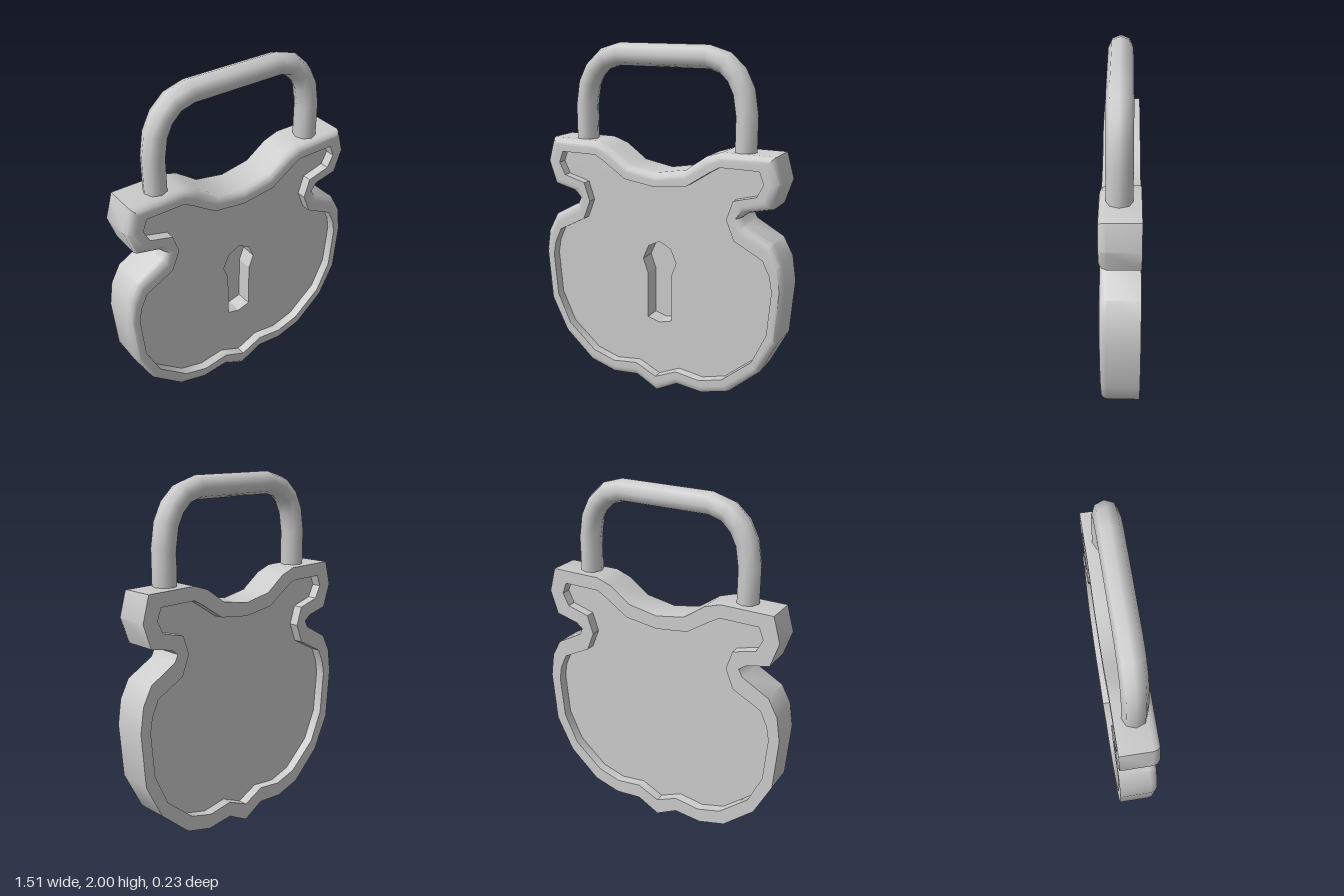
import * as THREE from 'three';
import { mergeVertices, toCreasedNormals } from 'three/addons/utils/BufferGeometryUtils.js';

// Right halves of the matched outer and inner outlines, bottom to top
const OUTER = [[0, 0], [0.13, 0.07], [0.29, 0.055], [0.45, 0.1], [0.63, 0.26], [0.73, 0.46], [0.752, 0.76],
  [0.73, 0.9], [0.675, 1.0], [0.52, 1.085], [0.5, 1.125], [0.54, 1.155], [0.67, 1.185], [0.715, 1.32],
  [0.675, 1.46], [0.38, 1.46], [0.29, 1.43], [0.17, 1.345], [0, 1.315]];
const INNER = [[0, 0.1], [0.13, 0.16], [0.28, 0.14], [0.42, 0.18], [0.59, 0.325], [0.67, 0.5], [0.69, 0.75],
  [0.675, 0.83], [0.635, 0.915], [0.47, 1.0], [0.425, 1.11], [0.46, 1.215], [0.59, 1.25], [0.625, 1.32],
  [0.6, 1.385], [0.38, 1.385], [0.32, 1.35], [0.19, 1.265], [0, 1.24]];
const KEYHOLE = [[0, 0.425], [0.075, 0.445], [0.075, 0.72], [0.105, 0.8], [0.07, 0.88], [0, 0.915]];

// Full counterclockwise outline from a right half
const mirror = (half) => [...half, ...half.slice(1, -1).reverse().map(([x, y]) => [-x, y])];
const toVectors = (half) => mirror(half).map(([x, y]) => new THREE.Vector2(x, y));

// Skin over a row of closed rings
function loft(rings, crease) {
  const n = rings[0].length;
  const index = [];
  for (let j = 0; j < rings.length - 1; j++) {
    for (let i = 0; i < n; i++) {
      const a = j * n + i, b = j * n + (i + 1) % n;
      index.push(a, b, b + n, a, b + n, a + n);
    }
  }
  const geometry = new THREE.BufferGeometry().setFromPoints(rings.flat());
  geometry.setIndex(index);
  return toCreasedNormals(mergeVertices(geometry), crease);
}

// Raised frame: each profile step is [amount from outer to inner, z]
function rimGeometry() {
  const outer = mirror(OUTER), inner = mirror(INNER);
  const profile = [[1, -0.055], [1, -0.109], [0, -0.109], [0, 0.065], [0.1, 0.087], [0.32, 0.101],
    [0.55, 0.103], [1, 0.103], [1, 0.05]];
  const rings = profile.map(([t, z]) => outer.map(([x, y], i) => new THREE.Vector3(
    x + (inner[i][0] - x) * t, y + (inner[i][1] - y) * t, z)));
  return loft(rings, 0.65);
}

// Bent bar: eight-sided rings along a path of straight legs and rounded corners
function shackleGeometry() {
  const half = [[0.486, 1.41], [0.486, 1.65], [0.466, 1.77], [0.425, 1.85], [0.36, 1.91], [0.265, 1.938]];
  const path = [...half.map(([x, y]) => [-x, y]), ...half.slice().reverse()];
  const rings = path.map(([x, y], i) => {
    const p = path[Math.max(i - 1, 0)], q = path[Math.min(i + 1, path.length - 1)];
    const first = i === 0 || i === path.length - 1;
    const d = new THREE.Vector2(q[0] - p[0], q[1] - p[1]).normalize();
    if (first) d.set(0, i === 0 ? 1 : -1);
    return Array.from({ length: 8 }, (_, k) => {
      const a = k * Math.PI / 4, c = 0.062 * Math.cos(a);
      return new THREE.Vector3(x - d.y * c, y + d.x * c, 0.067 * Math.sin(a));
    });
  });
  return loft(rings, 1.2);
}

function extrude(shape, z0, z1) {
  return new THREE.ExtrudeGeometry(shape, { depth: z1 - z0, bevelEnabled: false }).translate(0, 0, z0);
}

export function createModel() {
  const group = new THREE.Group();
  group.name = 'padlock';
  const metal = new THREE.MeshStandardMaterial({ color: 0xcccccc });
  metal.name = 'grey metal';
  const add = (name, geometry) => {
    const mesh = new THREE.Mesh(geometry, metal);
    mesh.name = name;
    group.add(mesh);
  };

  add('rim', rimGeometry());
  add('shackle', shackleGeometry());

  // Front plate with the keyhole cut through, closed by the back plate
  const front = new THREE.Shape(toVectors(INNER));
  front.holes.push(new THREE.Path(toVectors(KEYHOLE)));
  add('facePlate', extrude(front, -0.045, 0.05));
  add('backPlate', extrude(new THREE.Shape(toVectors(INNER)), -0.055, -0.045));

  // The lock is turned very slightly about its upright axis
  group.rotation.y = 0.0125;
  return group;
}
